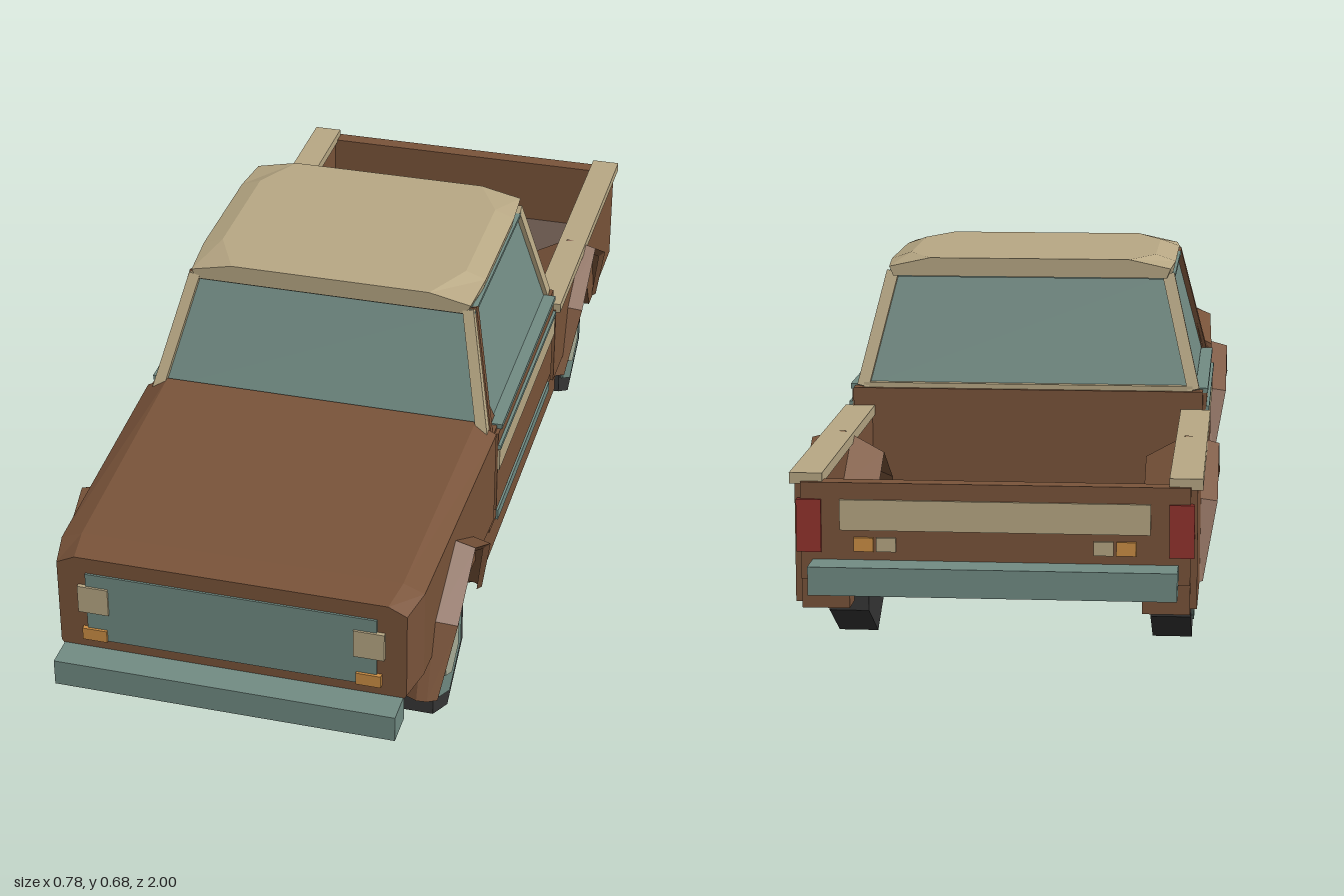
import * as THREE from 'three';

const mat = (name, color) => {
  const m = new THREE.MeshStandardMaterial({ color, flatShading: true, side: THREE.DoubleSide });
  m.name = name;
  return m;
};

export function createModel() {
  const brown = mat('brown paint', 0x7a543a);
  const tan = mat('tan trim', 0xb9a985);
  const teal = mat('teal glass and metal', 0x728c84);
  const tyreMat = mat('tyre black', 0x363636);
  const hubMat = mat('pale hub', 0xaab09a);
  const floorMat = mat('bed floor', 0x65544a);
  const orange = mat('orange lamp', 0xcd8f45);
  const red = mat('red lamp', 0x93332d);

  const model = new THREE.Group();
  model.name = 'pickupTruck';

  const add = (name, geo, material) => {
    const mesh = new THREE.Mesh(geo, material);
    mesh.name = name;
    model.add(mesh);
    return mesh;
  };
  // Box given by its limits on each axis
  const box = (name, m, x0, x1, y0, y1, z0, z1) =>
    add(name, new THREE.BoxGeometry(Math.abs(x1 - x0), y1 - y0, z1 - z0)
      .translate((x0 + x1) / 2, (y0 + y1) / 2, (z0 + z1) / 2), m);
  const pair = (name, m, x0, x1, ...rest) => {
    for (const s of [1, -1]) box((s > 0 ? 'left ' : 'right ') + name, m, s * x0, s * x1, ...rest);
  };
  // Flat-shaded geometry from positions and triangle indices
  const facets = (pos, index) => {
    let g = new THREE.BufferGeometry();
    g.setAttribute('position', new THREE.Float32BufferAttribute(pos, 3));
    g.setIndex(index);
    g = g.toNonIndexed();
    g.computeVertexNormals();
    return g;
  };
  // Symmetric loft: sections run front to back, each half profile bottom to top
  const loft = (sections) => {
    const pos = [], idx = [], n = sections[0].pts.length * 2;
    for (const { z, pts } of sections) {
      pts.forEach(([x, y]) => pos.push(x, y, z));
      [...pts].reverse().forEach(([x, y]) => pos.push(-x, y, z));
    }
    for (let k = 0; k < sections.length - 1; k++)
      for (let i = 0; i < n; i++) {
        const a = k * n + i, b = k * n + (i + 1) % n;
        idx.push(a, a + n, b, b, a + n, b + n);
      }
    const e = (sections.length - 1) * n;
    for (let i = 1; i < n - 1; i++) idx.push(0, i, i + 1, e, e + i + 1, e + i);
    return facets(pos, idx);
  };
  // Square bar between two points
  const bar = (name, m, a, b, w) => {
    const p = new THREE.Vector3(...a), d = new THREE.Vector3(...b).sub(p);
    const mesh = add(name, new THREE.BoxGeometry(w, d.length(), w), m);
    mesh.position.copy(p).addScaledVector(d, 0.5);
    mesh.quaternion.setFromUnitVectors(new THREE.Vector3(0, 1, 0), d.normalize());
  };

  // Bonnet and front wings
  add('frontBody', loft([
    { z: 0.94, pts: [[0.3, 0.19], [0.33, 0.24], [0.33, 0.415], [0.295, 0.432]] },
    { z: 0.87, pts: [[0.305, 0.19], [0.345, 0.24], [0.345, 0.42], [0.305, 0.436]] },
    { z: 0.34, pts: [[0.33, 0.2], [0.357, 0.23], [0.357, 0.43], [0.315, 0.452]] },
  ]), brown);

  // Underbody, pinched in around the wheels
  const under = (z, b, yb, t) => ({ z, pts: [[b, yb], [t, yb + 0.035], [t, 0.215]] });
  add('underbody', loft([
    under(0.82, 0.15, 0.112, 0.25), under(0.47, 0.24, 0.1, 0.262), under(0.42, 0.27, 0.1, 0.348),
    under(-0.32, 0.27, 0.1, 0.348), under(-0.38, 0.24, 0.1, 0.262), under(-0.68, 0.22, 0.115, 0.262),
    under(-0.84, 0.2, 0.15, 0.26),
  ]), brown);

  // Cab shell, doors and side trim
  box('cabBody', brown, -0.35, 0.35, 0.2, 0.425, -0.25, 0.345);
  pair('door', brown, 0.35, 0.357, 0.238, 0.418, -0.22, 0.32);
  pair('door stripe', tan, 0.355, 0.361, 0.335, 0.38, -0.22, 0.32);
  pair('door moulding', teal, 0.355, 0.363, 0.383, 0.392, -0.22, 0.32);
  pair('sill strip', teal, 0.346, 0.354, 0.192, 0.214, -0.22, 0.285);
  pair('window ledge', teal, 0.335, 0.36, 0.418, 0.428, -0.22, 0.3);

  // Glasshouse: a box narrowed towards the roof
  const glass = new THREE.BoxGeometry(2, 0.225, 2);
  const gp = glass.attributes.position;
  for (let i = 0; i < gp.count; i++) {
    const top = gp.getY(i) > 0, front = gp.getZ(i) > 0;
    gp.setXYZ(i, Math.sign(gp.getX(i)) * (top ? 0.28 : 0.335), top ? 0.65 : 0.425,
      front ? (top ? 0.25 : 0.345) : (top ? -0.17 : -0.232));
  }
  glass.computeVertexNormals();
  add('windows', glass, teal);

  // Pillars and window surrounds
  for (const s of [1, -1]) {
    const side = s > 0 ? 'left ' : 'right ';
    bar(side + 'front pillar', tan, [s * 0.332, 0.43, 0.348], [s * 0.278, 0.65, 0.252], 0.022);
    bar(side + 'front pillar edge', brown, [s * 0.338, 0.425, 0.33], [s * 0.284, 0.65, 0.24], 0.016);
    bar(side + 'rear pillar', tan, [s * 0.332, 0.425, -0.232], [s * 0.278, 0.65, -0.17], 0.024);
    add(side + 'quarter panel', facets(
      [s * 0.338, 0.427, 0.335, s * 0.338, 0.427, 0.27, s * 0.322, 0.5, 0.305], [0, 1, 2]), brown);
  }
  box('rearWindowSill', tan, -0.33, 0.33, 0.425, 0.435, -0.243, -0.225);
  box('roofGutter', teal, -0.291, 0.291, 0.641, 0.648, -0.18, 0.257);

  // Roof with clipped corners
  const roofEnd = [[0.275, 0.645], [0.283, 0.664], [0.2, 0.682]];
  const roofMid = [[0.285, 0.645], [0.29, 0.668], [0.25, 0.682]];
  add('roof', loft([
    { z: 0.262, pts: roofEnd }, { z: 0.16, pts: roofMid },
    { z: -0.1, pts: roofMid }, { z: -0.195, pts: roofEnd },
  ]), tan);

  // Cargo bed: side walls cut out over the rear wheels
  const wall = new THREE.Shape([
    [-0.25, 0.2], [-0.4, 0.2], [-0.44, 0.225], [-0.63, 0.225], [-0.67, 0.155],
    [-0.925, 0.155], [-0.925, 0.375], [-0.25, 0.375],
  ].map(([z, y]) => new THREE.Vector2(-z, y)));
  for (const s of [1, -1]) {
    const g = new THREE.ExtrudeGeometry(wall, { depth: 0.045, bevelEnabled: false });
    g.rotateY(Math.PI / 2).translate(s > 0 ? 0.312 : -0.357, 0, 0);
    add((s > 0 ? 'left' : 'right') + ' bed wall', g, brown);
  }
  pair('bed rail', tan, 0.307, 0.366, 0.37, 0.39, -0.93, -0.252);
  box('bedFloor', floorMat, -0.315, 0.315, 0.222, 0.228, -0.92, -0.25);
  box('bedBase', brown, -0.315, 0.315, 0.195, 0.222, -0.92, -0.25);
  box('tailgate', brown, -0.345, 0.345, 0.2, 0.375, -0.938, -0.905);
  box('tailgateStripe', tan, -0.275, 0.275, 0.29, 0.345, -0.943, -0.937);
  pair('tail lamp', red, 0.308, 0.352, 0.25, 0.345, -0.944, -0.93);
  pair('reversing lamp', tan, 0.175, 0.21, 0.252, 0.277, -0.944, -0.937);
  pair('rear indicator', orange, 0.215, 0.25, 0.252, 0.277, -0.944, -0.937);
  pair('rear bracket', brown, 0.26, 0.345, 0.145, 0.205, -0.93, -0.875);

  // Front grille and lamps
  box('grille', teal, -0.275, 0.275, 0.255, 0.4, 0.938, 0.944);
  pair('headlamp', tan, 0.232, 0.29, 0.316, 0.373, 0.94, 0.948);
  pair('front indicator', orange, 0.237, 0.284, 0.255, 0.28, 0.94, 0.949);

  // Bumpers
  box('frontBumper', teal, -0.324, 0.324, 0.182, 0.234, 0.935, 1.0);
  box('rearBumper', teal, -0.324, 0.324, 0.185, 0.236, -1.0, -0.935);

  // Wheel arch shells: [x at apex, x at feet, size] for each cross-section
  const arch = [[-0.19, 0.155], [-0.14, 0.3], [0, 0.385], [0.14, 0.3], [0.19, 0.155]];
  const rings = [[0.25, 0.25, 0.85], [0.325, 0.325, 1.03], [0.345, 0.345, 1.02], [0.388, 0.363, 0.97], [0.375, 0.355, 0.91]];
  const archGeometry = (s, zc) => {
    const pos = [], idx = [], n = arch.length;
    rings.forEach(([xa, xf, k]) => arch.forEach(([dz, y], i) => {
      const x = i === 0 || i === n - 1 ? xf : xa;
      pos.push(s * x, 0.155 + (y - 0.155) * k, zc + dz * k);
    }));
    for (let r = 0; r < rings.length - 1; r++)
      for (let i = 0; i < n - 1; i++) {
        const a = r * n + i, b = a + 1, c = a + n, d = c + 1;
        if (s > 0) idx.push(a, c, b, b, c, d);
        else idx.push(a, b, c, b, d, c);
      }
    return facets(pos, idx);
  };

  // Six-sided wheels with layered hubs
  const disc = (r, x0, x1) => new THREE.CylinderGeometry(r, r, x1 - x0, 6)
    .rotateZ(Math.PI / 2).rotateX(Math.PI / 2).translate((x0 + x1) / 2, 0, 0);
  for (const [end, zc] of [['front', 0.65], ['rear', -0.535]])
    for (const s of [1, -1]) {
      const label = (s > 0 ? 'left ' : 'right ') + end;
      add(label + ' wheel arch', archGeometry(s, zc), brown);
      const wheel = new THREE.Group();
      wheel.name = label + ' wheel';
      for (const [name, r, x0, x1, m] of [
        ['tyre', 0.14, 0.265, 0.34, tyreMat], ['rim', 0.105, 0.335, 0.344, teal], ['hub', 0.06, 0.34, 0.348, hubMat],
      ]) {
        const mesh = new THREE.Mesh(disc(r, ...(s > 0 ? [x0, x1] : [-x1, -x0])), m);
        mesh.name = name;
        wheel.add(mesh);
      }
      // Stand the hexagon on a corner
      const p = wheel.children[0].geometry.attributes.position;
      let low = 0;
      for (let i = 0; i < p.count; i++) low = Math.min(low, p.getY(i));
      if (low > -0.135) wheel.rotation.x = Math.PI / 6;
      wheel.position.set(0, 0.14, zc);
      model.add(wheel);
    }

  return model;
}
